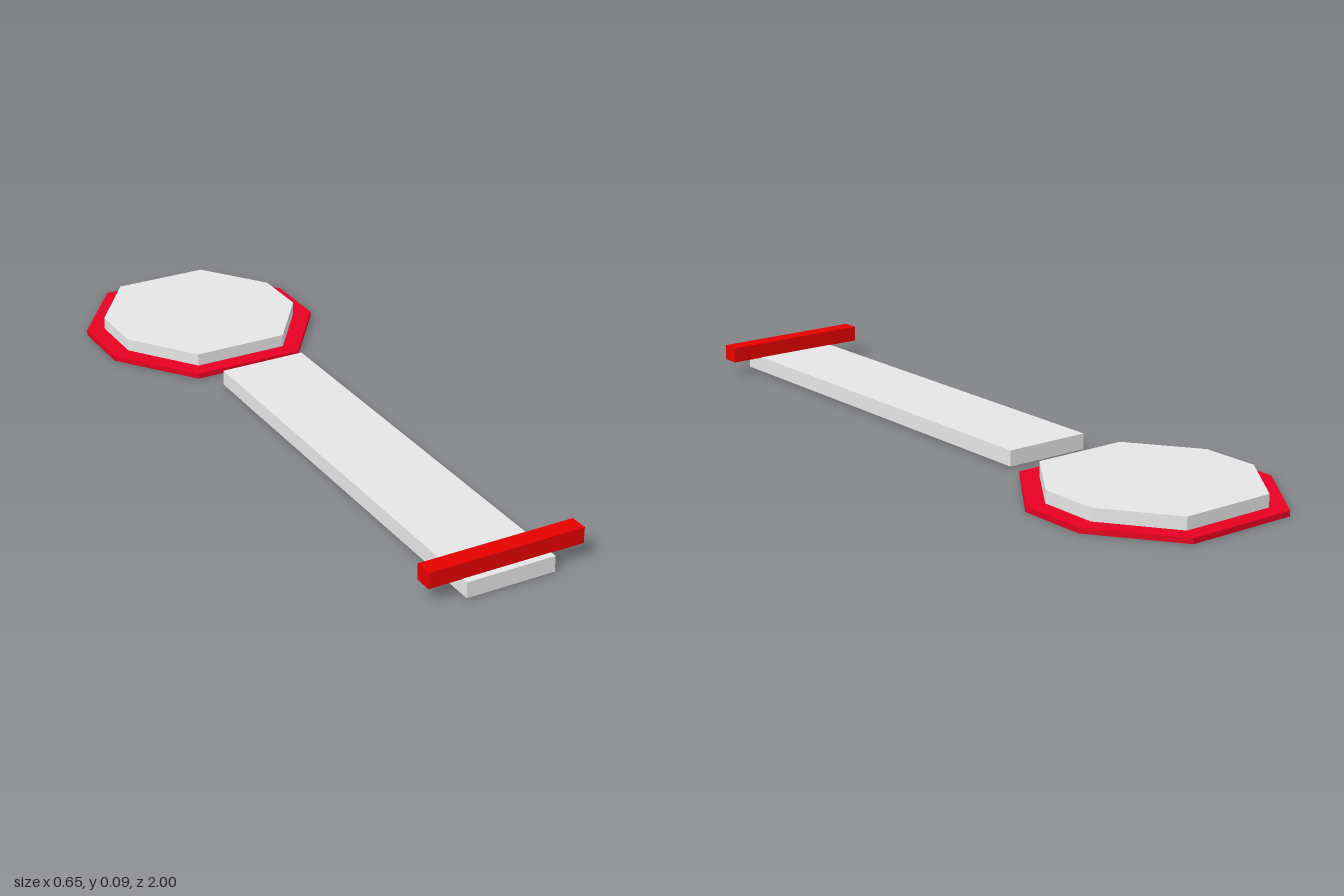
import * as THREE from 'three';

const grey = new THREE.MeshStandardMaterial({ name: 'light grey', color: 0xe5e5e5 });
const crimson = new THREE.MeshStandardMaterial({ name: 'crimson', color: 0xec0022 });
const red = new THREE.MeshStandardMaterial({ name: 'red', color: 0xe60000 });

// Corners of an octagon: half width, half depth, half lengths of the end and side edges
function octagon(w, d, endHalf, sideHalf) {
  return [
    [endHalf, -d], [w, -sideHalf], [w, sideHalf], [endHalf, d],
    [-endHalf, d], [-w, sideHalf], [-w, -sideHalf], [-endHalf, -d],
  ].map(([x, y]) => new THREE.Vector2(x, y));
}

// Lying plate spanning y0 to y1
function plate(name, shape, y0, y1, z, material) {
  const geometry = new THREE.ExtrudeGeometry(shape, { depth: y1 - y0, bevelEnabled: false });
  geometry.rotateX(-Math.PI / 2);
  const mesh = new THREE.Mesh(geometry, material);
  mesh.name = name;
  mesh.position.set(0, y0, z);
  return mesh;
}

// Box given by its extents on each axis
function block(name, [x0, x1], [y0, y1], [z0, z1], material) {
  const mesh = new THREE.Mesh(new THREE.BoxGeometry(x1 - x0, y1 - y0, z1 - z0), material);
  mesh.name = name;
  mesh.position.set((x0 + x1) / 2, (y0 + y1) / 2, (z0 + z1) / 2);
  return mesh;
}

export function createModel() {
  const model = new THREE.Group();
  model.name = 'octagonPadAndStrip';

  // Octagonal pad set into a thin border
  const padCorners = octagon(0.273, 0.274, 0.137, 0.085);
  const border = new THREE.Shape(octagon(0.324, 0.323, 0.161, 0.1));
  border.holes.push(new THREE.Path(padCorners));
  model.add(plate('padBorder', border, 0, 0.015, -0.677, crimson));
  model.add(plate('octagonPad', new THREE.Shape(padCorners), 0.003, 0.05, -0.678, grey));

  // Long strip with a crossbar near its front end
  model.add(block('strip', [-0.118, 0.132], [0.003, 0.047], [-0.28, 1], grey));
  model.add(block('crossbar', [-0.213, 0.227], [0.046, 0.09], [0.931, 0.981], red));

  return model;
}
